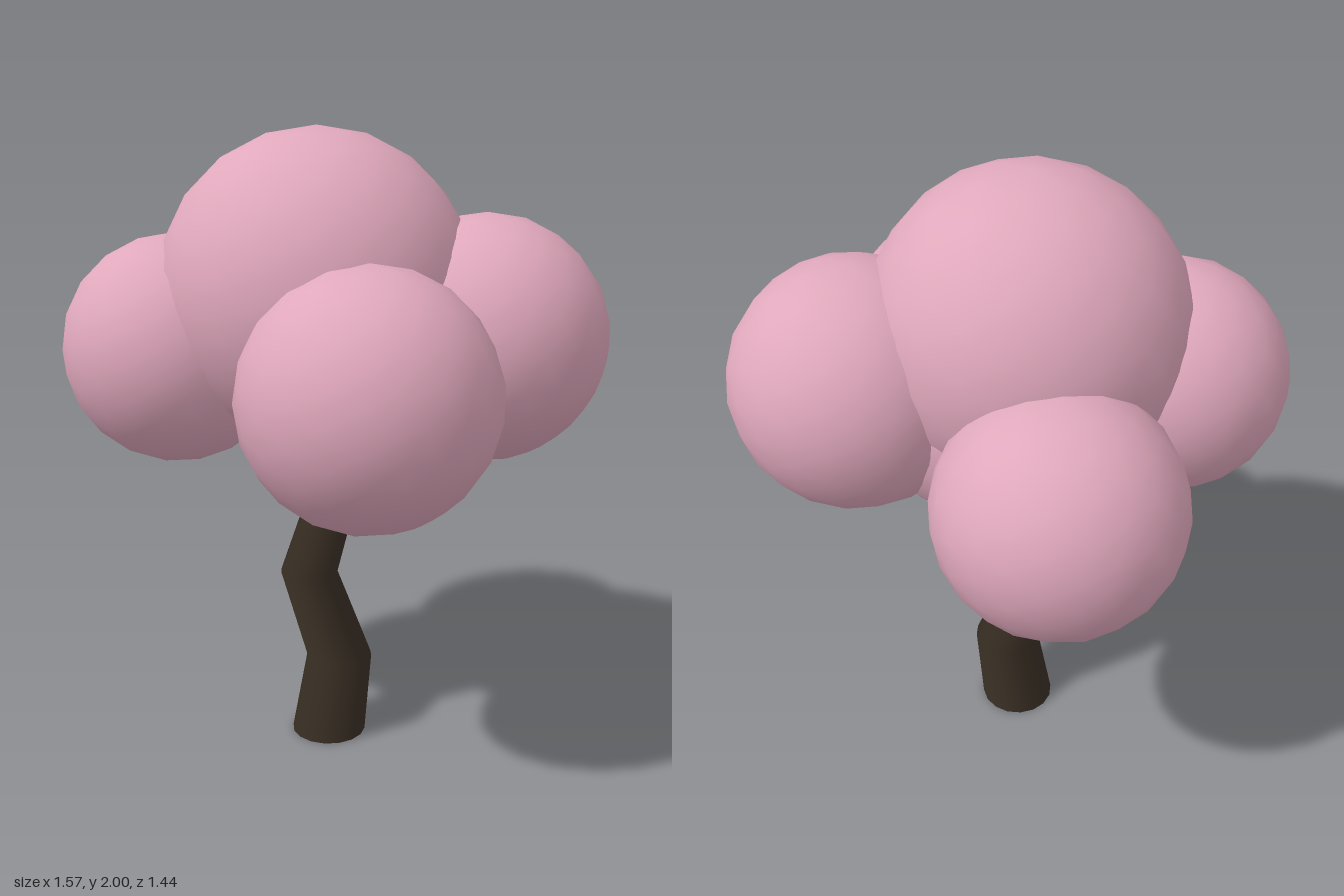
import * as THREE from 'three';

const blossom = new THREE.MeshStandardMaterial({ color: 0xe0a8bc });
blossom.name = 'blossom pink';
const bark = new THREE.MeshStandardMaterial({ color: 0x3b3025 });
bark.name = 'dark bark';

// Trunk rings from the ground up: x, y, z, radius
const rings = [
  [-0.035, 0, 0, 0.123],
  [-0.003, 0.28, -0.02, 0.108],
  [-0.08, 0.57, 0.047, 0.094],
  [-0.012, 0.9, -0.022, 0.079],
  [0.015, 1.03, -0.045, 0.074],
];

// Foliage balls: name, centre x, y, z, radius
const balls = [
  ['crownTop', -0.04, 1.51, 0.04, 0.49],
  ['crownCore', 0.03, 1.29, -0.04, 0.39],
  ['foliageFrontRight', -0.345, 1.32, 0.36, 0.36],
  ['foliageFrontLeft', 0.4, 1.26, 0.2, 0.38],
  ['foliageBackRight', -0.42, 1.215, -0.29, 0.365],
  ['foliageBackLeft', 0.31, 1.365, -0.34, 0.382],
];

// A unit cylinder whose rows are moved onto the crooked rings
function makeTrunk() {
  const last = rings.length - 1;
  const geo = new THREE.CylinderGeometry(1, 1, last, 16, last);
  const p = geo.attributes.position;
  for (let i = 0; i < p.count; i++) {
    const [x, y, z, r] = rings[Math.round(p.getY(i) + last / 2)];
    p.setXYZ(i, x + p.getX(i) * r, y, z + p.getZ(i) * r);
  }
  const trunk = new THREE.Mesh(geo, bark);
  trunk.name = 'trunk';
  return trunk;
}

export function createModel() {
  const tree = new THREE.Group();
  tree.name = 'blossomTree';
  tree.add(makeTrunk());

  // Smooth-shaded faceted balls
  const ballGeo = new THREE.IcosahedronGeometry(1, 3);
  for (const [name, x, y, z, r] of balls) {
    const ball = new THREE.Mesh(ballGeo, blossom);
    ball.name = name;
    ball.position.set(x, y, z);
    ball.scale.setScalar(r);
    tree.add(ball);
  }
  return tree;
}
